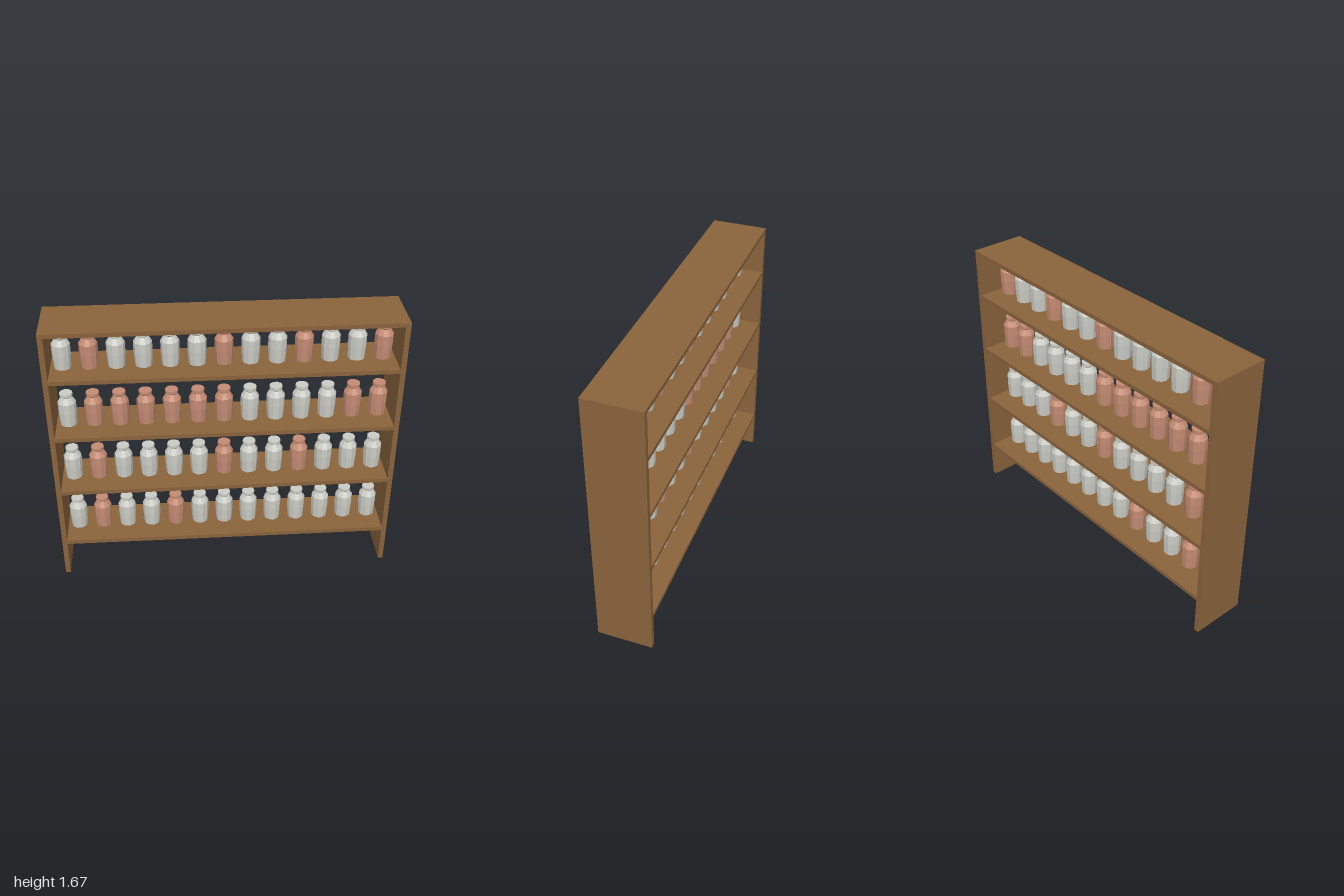
import * as THREE from 'three';

const WIDTH = 2, HEIGHT = 1.667, DEPTH = 0.333, BOARD = 0.025, SIDE = 0.03;

export function createModel() {
  const wood = new THREE.MeshStandardMaterial({ color: 0x8a633c });
  const paleJar = new THREE.MeshStandardMaterial({ color: 0xcbccc5 });
  const copperJar = new THREE.MeshStandardMaterial({ color: 0xc48b73 });
  wood.name = 'wood';
  paleJar.name = 'paleGrey';
  copperJar.name = 'copper';

  const model = new THREE.Group();
  model.name = 'jarRack';

  const board = (name, w, h, x, y) => {
    const mesh = new THREE.Mesh(new THREE.BoxGeometry(w, h, DEPTH), wood);
    mesh.name = name;
    mesh.position.set(x, y, 0);
    model.add(mesh);
  };

  // Open frame: two uprights and a top board
  board('topBoard', WIDTH, BOARD, 0, HEIGHT - BOARD / 2);
  for (const s of [-1, 1]) {
    board(s > 0 ? 'leftUpright' : 'rightUpright', SIDE, HEIGHT - BOARD,
      s * (WIDTH - SIDE) / 2, (HEIGHT - BOARD) / 2);
  }

  // Ten-sided jar: body, sloping shoulder, neck and flared lid
  const profile = [
    [0, 0], [0.048, 0], [0.053, 0.085], [0.053, 0.147],
    [0.031, 0.181], [0.038, 0.188], [0.038, 0.206], [0, 0.206],
  ].map(([r, y]) => new THREE.Vector2(r, y));
  const jarGeometry = new THREE.LatheGeometry(profile, 10, Math.PI / 10).toNonIndexed();
  jarGeometry.computeVertexNormals(); // one normal per facet

  // Shelves from the bottom up, with the places of the copper jars
  const copperPlaces = [
    [1, 4],
    [1, 6, 9],
    [1, 2, 3, 4, 5, 6, 11, 12],
    [1, 6, 9, 12],
  ];
  copperPlaces.forEach((places, row) => {
    const top = 0.253 + row * 0.375;
    board(`shelf${row + 1}`, WIDTH - 2 * SIDE, BOARD, 0, top - BOARD / 2);

    const jars = new THREE.Group();
    jars.name = `jarRow${row + 1}`;
    for (let i = 0; i < 13; i++) {
      const jar = new THREE.Mesh(jarGeometry, places.includes(i) ? copperJar : paleJar);
      jar.name = `jar${i + 1}`;
      jar.position.set(-0.9 + i * 0.15, top, 0);
      jars.add(jar);
    }
    model.add(jars);
  });

  return model;
}
